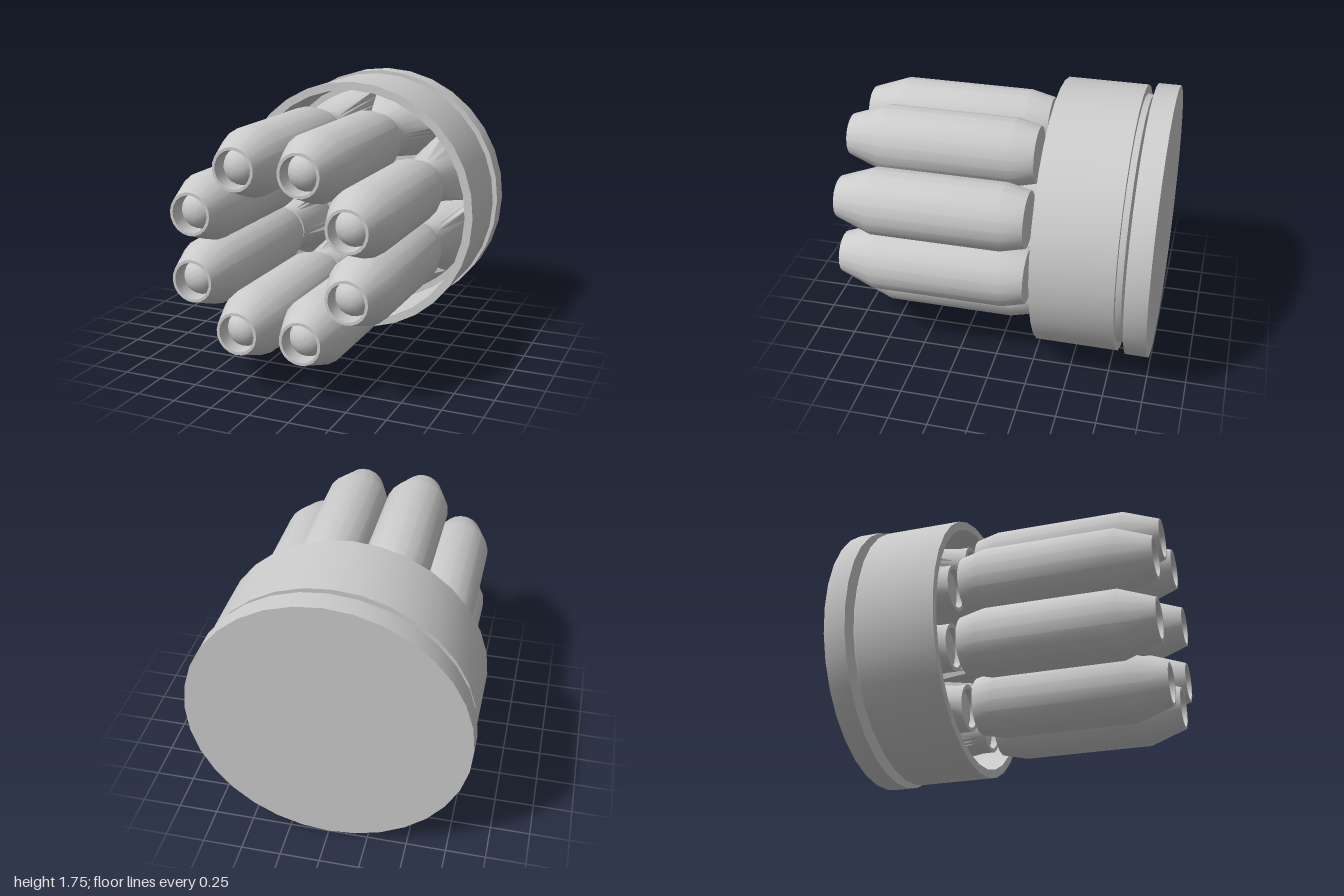
import * as THREE from 'three';
import { toCreasedNormals } from 'three/addons/utils/BufferGeometryUtils.js';

const CENTRE_Y = 0.875;
const COUNT = 8;
const RING = 0.541; // distance of the pods from the main axis
const material = new THREE.MeshStandardMaterial({ color: 0xcccccc });

// Revolves [radius, z] points about the z axis
function turned(name, points, sides) {
  const profile = points.map(([r, z]) => new THREE.Vector2(r, z));
  const geometry = new THREE.LatheGeometry(profile, sides).rotateX(Math.PI / 2);
  const mesh = new THREE.Mesh(toCreasedNormals(geometry, 0.35), material);
  mesh.name = name;
  return mesh;
}

// Outline of one wedge-shaped cell around the pod axis, which lies on +x
function cellOutline() {
  const half = Math.PI / COUNT, inner = 0.415, outer = 0.76, steps = 6;
  const points = [];
  const add = (r, a) => points.push([r * Math.cos(a) - RING, r * Math.sin(a)]);
  for (let i = 0; i < steps; i++) add(outer, half * (2 * i / steps - 1));
  for (let i = 0; i < steps; i++) add(outer + (inner - outer) * i / steps, half);
  for (let i = 0; i < steps; i++) add(inner, half * (1 - 2 * i / steps));
  for (let i = 0; i < steps; i++) add(inner + (outer - inner) * i / steps, -half);
  return points;
}

// Socket lofted from a round neck to the wedge-shaped cell
function socketGeometry() {
  const outline = cellOutline(), n = outline.length;
  const round = (r, z) => outline.map(([x, y]) => {
    const a = Math.atan2(y, x);
    return [r * Math.cos(a), r * Math.sin(a), z];
  });
  const sections = [
    round(0.001, -0.33), round(0.125, -0.33), round(0.125, -0.285),
    round(0.15, -0.285), round(0.15, -0.36),
    outline.map(([x, y]) => [x, y, -0.8]),
  ];
  const index = [];
  for (let s = 0; s < sections.length - 1; s++) {
    for (let j = 0; j < n; j++) {
      const a = s * n + j, b = s * n + (j + 1) % n;
      index.push(a, a + n, b, b, a + n, b + n);
    }
  }
  const geometry = new THREE.BufferGeometry();
  geometry.setAttribute('position', new THREE.Float32BufferAttribute(sections.flat(2), 3));
  geometry.setIndex(index);
  return toCreasedNormals(geometry, 0.6);
}

export function createModel() {
  const model = new THREE.Group();
  model.name = 'podCluster';
  const body = new THREE.Group();
  body.name = 'body';
  body.position.y = CENTRE_Y;
  model.add(body);

  // Free-standing disc at the back
  body.add(turned('backDisc', [[0, -1], [0.875, -1], [0.875, -0.86], [0, -0.86]], 32));

  // Open drum with its floor plate
  body.add(turned('housing', [
    [0.805, -0.8], [0.86, -0.8], [0.86, -0.29], [0.805, -0.29], [0.805, -0.8],
  ], 32));
  body.add(turned('floorPlate', [[0, -0.837], [0.8, -0.837], [0.805, -0.8], [0, -0.8]], 32));

  // Pod with tapered ends and a domed tip set inside the muzzle
  const podProfile = [
    [0, -0.21], [0.18, -0.21], [0.215, -0.06], [0.215, 0.77],
    [0.133, 1], [0.115, 1], [0.115, 0.87],
  ];
  for (let i = 1; i <= 6; i++) {
    const a = i / 6 * Math.PI / 2;
    podProfile.push([0.115 * Math.cos(a), 0.87 + 0.1 * Math.sin(a)]);
  }
  const pod = turned('pod', podProfile, 20);
  const socket = new THREE.Mesh(socketGeometry(), material);
  socket.name = 'socket';

  // Ring of pods, each facing its own socket
  for (let i = 0; i < COUNT; i++) {
    const unit = new THREE.Group();
    unit.name = `podUnit${i + 1}`;
    const angle = (i + 0.5) / COUNT * Math.PI * 2;
    unit.position.set(RING * Math.cos(angle), RING * Math.sin(angle), 0);
    unit.rotation.z = angle;
    unit.add(pod.clone(), socket.clone());
    body.add(unit);
  }
  return model;
}
